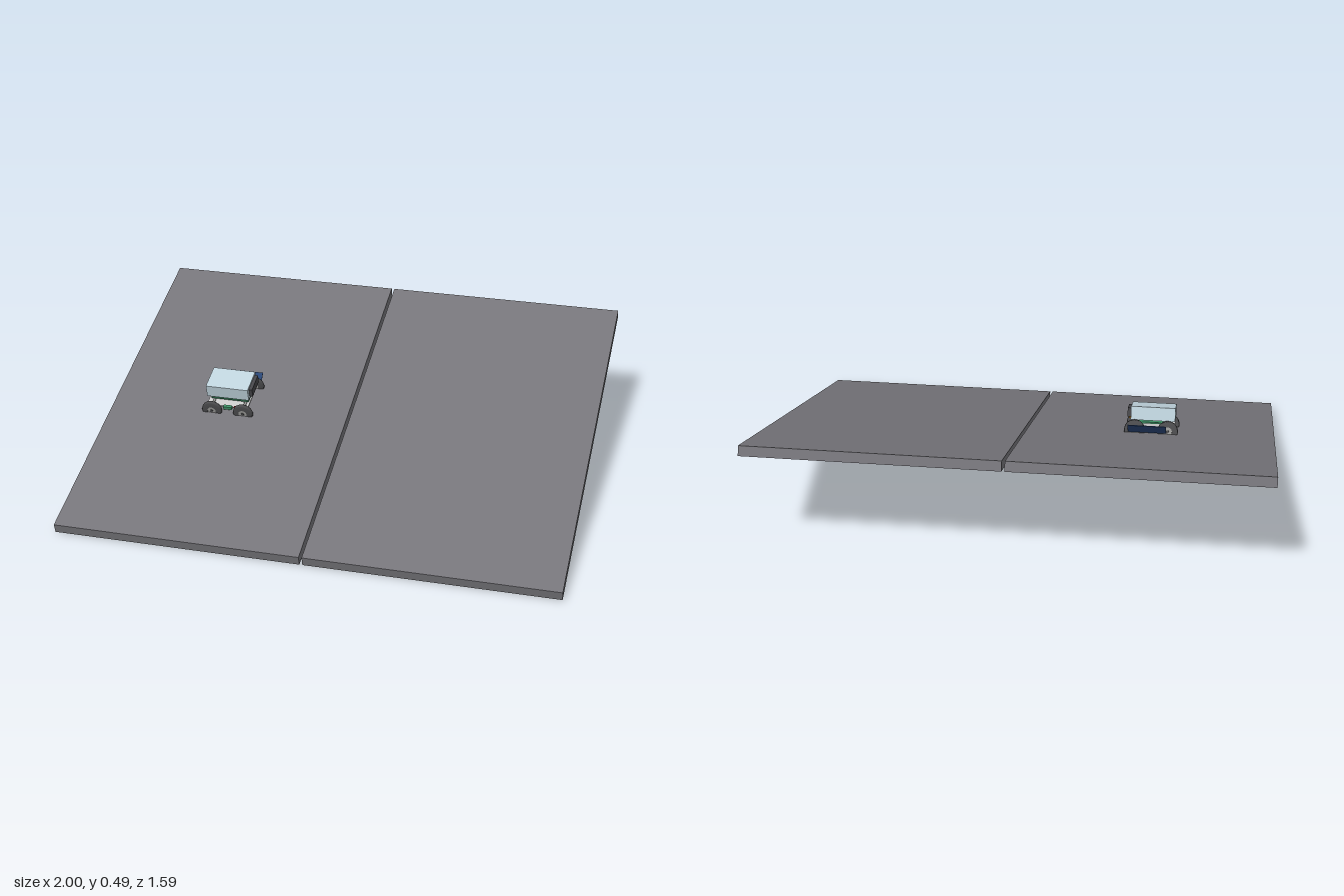
import * as THREE from 'three';

const TILT = THREE.MathUtils.degToRad(16);

const mat = (color, flat = false) => new THREE.MeshStandardMaterial({ color, flatShading: flat });

function add(parent, name, geometry, material, x, y, z) {
  const mesh = new THREE.Mesh(geometry, material);
  mesh.name = name;
  mesh.position.set(x, y, z);
  parent.add(mesh);
  return mesh;
}

const box = (w, h, d) => new THREE.BoxGeometry(w, h, d);

// Wheel lying on the z axis: tyre with a rounded shoulder, pale hub and cap
function makeWheel(tyre, hub) {
  const wheel = new THREE.Group();
  wheel.name = 'wheel';
  const profile = [[0.018, -0.009], [0.039, -0.009], [0.042, -0.005], [0.042, 0.005], [0.039, 0.009], [0.018, 0.009]]
    .map(([r, y]) => new THREE.Vector2(r, y));
  add(wheel, 'tyre', new THREE.LatheGeometry(profile, 28), tyre, 0, 0, 0).rotation.x = Math.PI / 2;
  add(wheel, 'hub', new THREE.CylinderGeometry(0.018, 0.018, 0.016, 20), hub, 0, 0, 0).rotation.x = Math.PI / 2;
  add(wheel, 'hubCap', new THREE.CylinderGeometry(0.006, 0.006, 0.022, 12), tyre, 0, 0, 0).rotation.x = Math.PI / 2;
  return wheel;
}

function makeRover() {
  const rover = new THREE.Group();
  rover.name = 'rover';
  const shell = mat(0xc0d4de), dark = mat(0x46464a), pale = mat(0xd8dcdc);
  const tyre = mat(0x4c4c4e), hub = mat(0x9a9a98), green = mat(0x3f9468);
  const orange = mat(0xe0a030), navy = mat(0x2a4676), red = mat(0xc03030);

  // Body and chassis
  add(rover, 'body', box(0.18, 0.055, 0.118), shell, -0.005, 0.075, -0.011);
  add(rover, 'chassisPlate', box(0.175, 0.006, 0.14), pale, -0.005, 0.02, 0);
  add(rover, 'circuitBoard', box(0.16, 0.006, 0.09), green, 0, 0.034, -0.005);
  for (const x of [-0.07, 0.06]) for (const z of [-0.04, 0.035])
    add(rover, 'standoff', new THREE.CylinderGeometry(0.004, 0.004, 0.03, 8), hub, x, 0.034, z);

  // End panel with its coloured strip
  add(rover, 'endPanel', box(0.014, 0.036, 0.092), dark, 0.092, 0.076, -0.014);
  add(rover, 'endStrip', box(0.008, 0.006, 0.07), orange, 0.09, 0.052, -0.014);

  // Parts on the front edge
  add(rover, 'frontConnector', box(0.035, 0.014, 0.014), green, 0, 0.024, 0.078);
  add(rover, 'indicator', box(0.008, 0.008, 0.008), red, 0.03, 0.024, 0.074);

  // Four wheels, partly sunk in the slab, with axles
  for (const x of [-0.067, 0.067]) {
    add(rover, 'axle', new THREE.CylinderGeometry(0.005, 0.005, 0.17, 10), hub, x, 0.026, 0).rotation.x = Math.PI / 2;
    for (const z of [-0.088, 0.086]) {
      const wheel = makeWheel(tyre, hub);
      wheel.position.set(x, 0.01, z);
      rover.add(wheel);
    }
  }

  // Leaning panel on the uphill side
  const panel = add(rover, 'solarPanel', box(0.155, 0.003, 0.056), navy, 0.015, 0.02, -0.118);
  panel.rotation.x = Math.atan2(0.034, 0.045);
  return rover;
}

export function createModel() {
  const model = new THREE.Group();
  model.name = 'roverOnSlope';

  const slope = new THREE.Group();
  slope.name = 'slope';
  slope.position.y = 0.2465;
  slope.rotation.x = TILT;
  model.add(slope);

  // Two slabs with a narrow gap between them
  const slab = mat(0x77767b);
  for (const side of [-1, 1])
    add(slope, side < 0 ? 'rightSlab' : 'leftSlab', box(0.994, 0.04, 1.639), slab, side * 0.503, 0, 0);

  // Rover parked across the right slab
  const rover = makeRover();
  rover.position.set(-0.503, 0.02, 0);
  slope.add(rover);

  return model;
}
